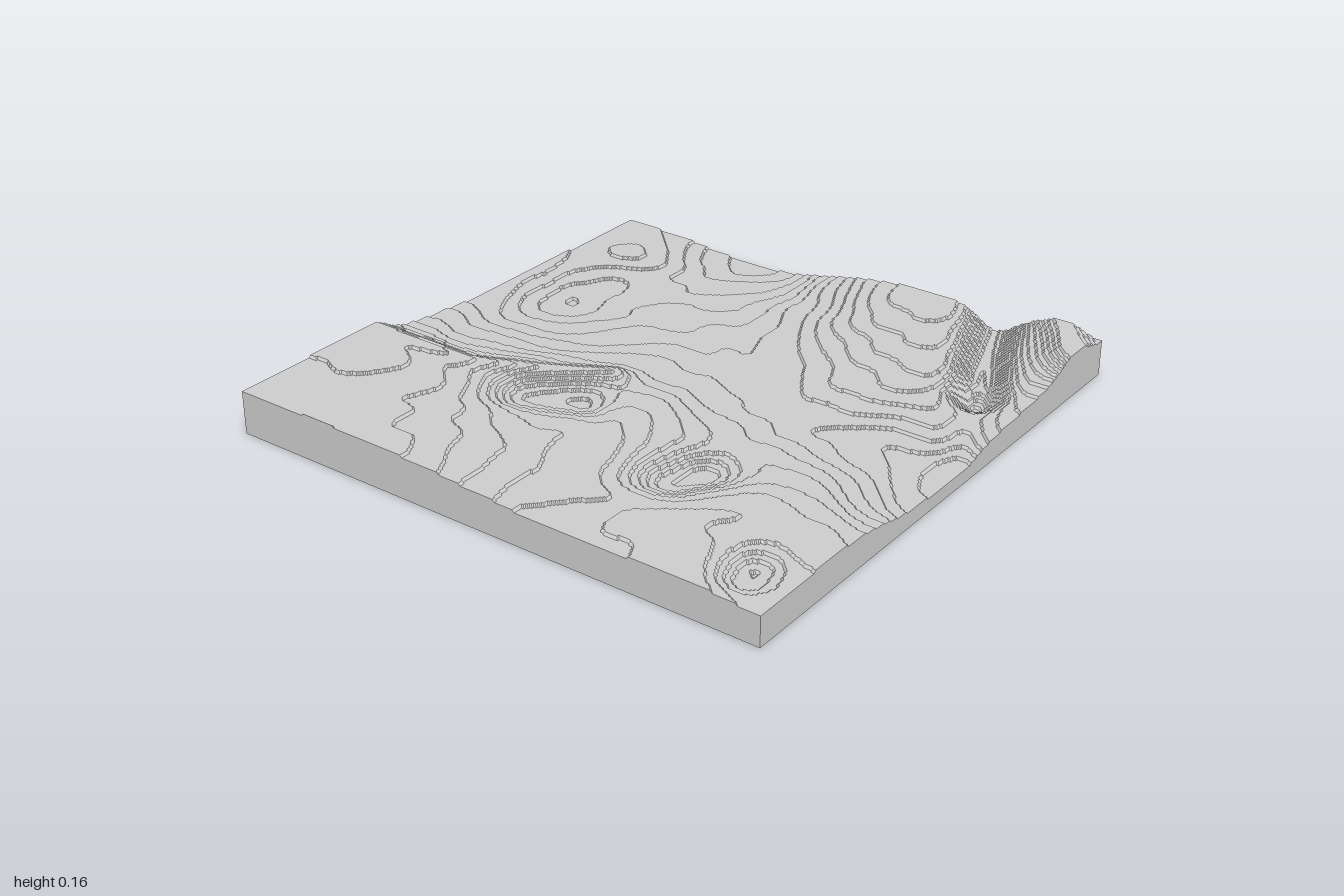
import * as THREE from 'three';

const N = 240;          // grid cells per side
const STEP = 0.008;     // height of one terrace
const TOP = 0.16;

// Broad relief in thousandths: rows run back to front, columns left edge to right edge
const RELIEF = [
  [150, 155, 158, 100, 72, 65, 62, 58, 58],
  [155, 153, 156, 95, 65, 38, 42, 60, 48],
  [153, 148, 142, 104, 68, 55, 50, 40, 25],
  [145, 138, 124, 104, 80, 65, 55, 45, 32],
  [128, 125, 120, 108, 80, 70, 68, 74, 85],
  [110, 118, 114, 95, 76, 74, 88, 108, 120],
  [116, 118, 112, 90, 70, 85, 100, 112, 120],
  [122, 114, 110, 85, 60, 78, 102, 114, 118],
  [105, 110, 105, 62, 50, 82, 94, 122, 118],
];

// Sharp features laid along a path: points, radius, height added
const RIDGES = [
  { path: [[-0.4, -1.1], [-0.39, -0.6], [-0.32, -0.48], [-0.13, -0.2]], r: 0.06, h: 0.022 }, // cliff crest
  { path: [[0.78, 1.05], [0.86, 0.96], [1.05, 0.82]], r: 0.085, h: 0.044 },                   // corner hill
  { path: [[1.1, 0.56], [0.8, 0.68], [0.5, 0.81]], r: 0.085, h: -0.068 },                     // ravine
  { path: [[0.5, 0.81], [0.12, 0.98]], r: 0.07, h: -0.015 },                                  // ravine mouth
  { path: [[-0.54, 0.36], [-0.46, 0.4]], r: 0.13, h: -0.046 },                                // round hollow
  { path: [[-0.42, -0.32], [-0.34, -0.16]], r: 0.11, h: -0.03 },                              // hollow behind cliff
  { path: [[-0.86, 0.86], [-0.82, 0.85]], r: 0.09, h: -0.03 },                                // small hollow
];

const cubic = (a, b, c, d, t) =>
  b + 0.5 * t * (c - a + t * (2 * a - 5 * b + 4 * c - d + t * (3 * (b - c) + d - a)));

function sampleRow(row, u) {
  const i = Math.min(Math.floor(u), 7);
  const at = k => row[THREE.MathUtils.clamp(k, 0, 8)];
  return cubic(at(i - 1), at(i), at(i + 1), at(i + 2), u - i);
}

function pathDistance(path, x, z) {
  let best = Infinity;
  for (let i = 0; i + 1 < path.length; i++) {
    const [ax, az] = path[i], [bx, bz] = path[i + 1];
    const dx = bx - ax, dz = bz - az;
    const t = THREE.MathUtils.clamp(((x - ax) * dx + (z - az) * dz) / (dx * dx + dz * dz), 0, 1);
    best = Math.min(best, Math.hypot(x - ax - t * dx, z - az - t * dz));
  }
  return best;
}

// Terraced height of the land at one point
function heightAt(x, z) {
  const u = THREE.MathUtils.clamp((x + 1) * 4, 0, 8);
  const v = THREE.MathUtils.clamp((z + 1) * 4, 0, 8);
  let y = sampleRow(RELIEF.map(row => sampleRow(row, u)), v) / 1000;
  for (const { path, r, h } of RIDGES) y += h * Math.exp(-((pathDistance(path, x, z) / r) ** 2));
  y += 0.002 * Math.sin(13 * x + 3 * Math.sin(7 * z)) * Math.cos(11 * z - 2 * Math.sin(9 * x));
  return THREE.MathUtils.clamp(Math.round(y / STEP) * STEP, 0.016, TOP);
}

export function createModel() {
  const group = new THREE.Group();
  group.name = 'terrainSlab';
  const stone = new THREE.MeshStandardMaterial({ color: 0xcccccc, flatShading: true });
  stone.name = 'lightGrey';

  const add = (geometry, name) => {
    geometry.computeVertexNormals();
    const mesh = new THREE.Mesh(geometry, stone);
    mesh.name = name;
    group.add(mesh);
  };

  // Land surface
  const land = new THREE.PlaneGeometry(2, 2, N, N).rotateX(-Math.PI / 2);
  const p = land.attributes.position;
  for (let i = 0; i < p.count; i++) p.setY(i, heightAt(p.getX(i), p.getZ(i)));
  add(land, 'landSurface');

  // Four cut sides that follow the land's edge
  ['frontSide', 'leftSide', 'backSide', 'rightSide'].forEach((name, k) => {
    const c = Math.round(Math.cos(k * Math.PI / 2)), s = Math.round(Math.sin(k * Math.PI / 2));
    const wall = new THREE.PlaneGeometry(2, 1, N, 1);
    const w = wall.attributes.position;
    for (let i = 0; i < w.count; i++) {
      const t = w.getX(i), x = t * c + s, z = c - t * s;
      w.setXYZ(i, x, w.getY(i) > 0 ? heightAt(x, z) : 0, z);
    }
    add(wall, name);
  });

  // Flat underside
  add(new THREE.PlaneGeometry(2, 2).rotateX(Math.PI / 2), 'underside');
  return group;
}
